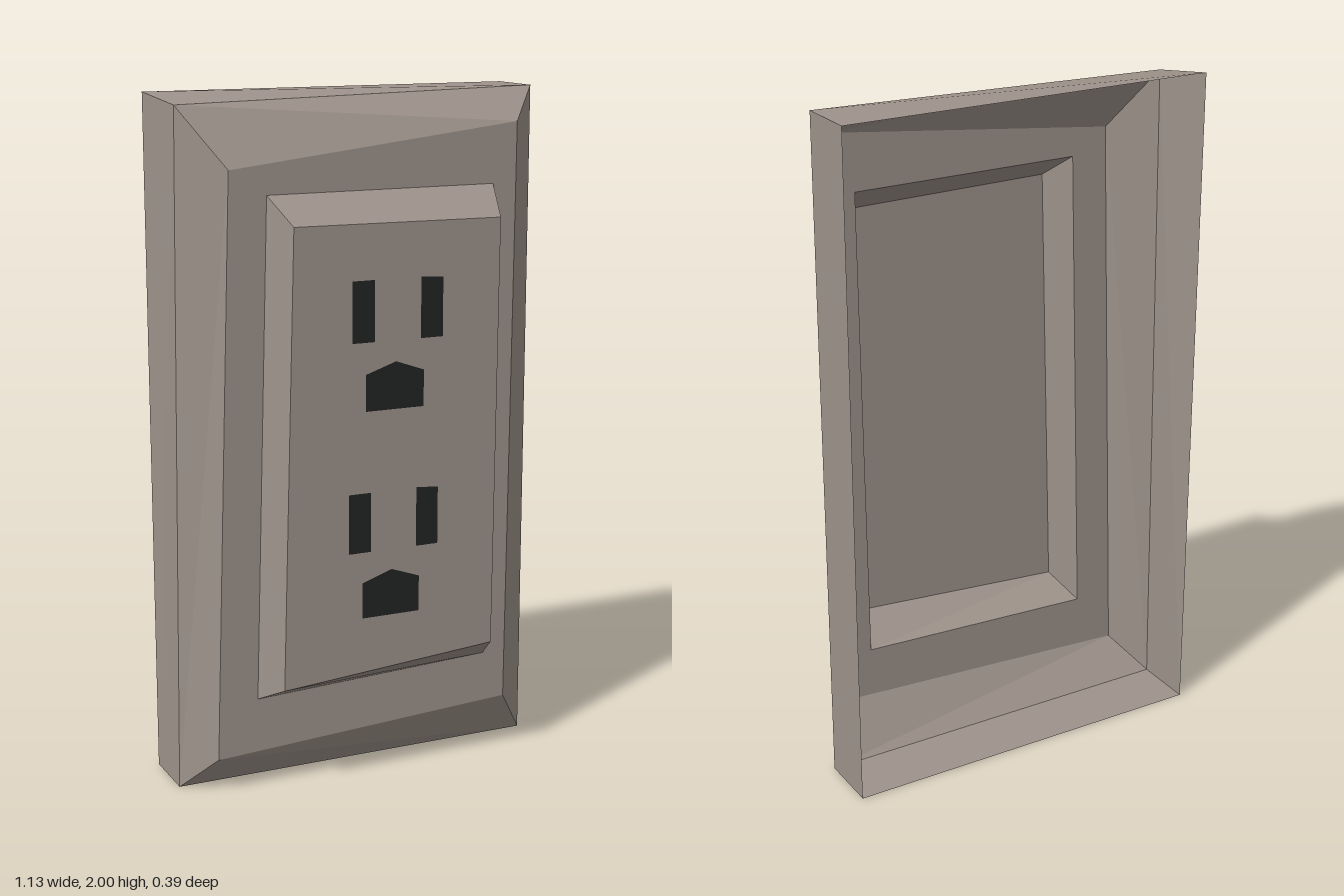
import * as THREE from 'three';

// Ring of four corners at depth z: top-left, top-right, bottom-right, bottom-left
const ring = (z, corners) => corners.map(([x, y]) => [x, y, z]);

const facets = (positions) => {
  const g = new THREE.BufferGeometry();
  g.setAttribute('position', new THREE.Float32BufferAttribute(positions.flat(), 3));
  g.computeVertexNormals();
  return g;
};

// Four-sided wall from the rear ring a to the front ring b
const band = (a, b) => {
  const p = [];
  for (let i = 0; i < 4; i++) {
    const j = (i + 1) % 4;
    p.push(a[i], b[i], b[j], a[i], b[j], a[j]);
  }
  return facets(p);
};

export function createModel() {
  const group = new THREE.Group();
  group.name = 'wallOutlet';

  const plastic = new THREE.MeshStandardMaterial({ color: 0x9e938b, side: THREE.DoubleSide });
  plastic.name = 'taupe plastic';
  plastic.flatShading = true;
  const dark = new THREE.MeshStandardMaterial({ color: 0x222323 });
  dark.name = 'slot black';

  const add = (name, geometry, material) => {
    const mesh = new THREE.Mesh(geometry, material);
    mesh.name = name;
    group.add(mesh);
  };

  // Slightly crooked outlines, from the open back to the front
  const back = ring(-0.197, [[-0.565, 2], [0.565, 2], [0.565, 0], [-0.565, 0]]);
  const edge = ring(-0.013, [[-0.538, 1.975], [0.565, 2], [0.565, 0], [-0.565, 0]]);
  const plate = ring(0.083, [[-0.42, 1.803], [0.47, 1.905], [0.457, 0.155], [-0.477, 0.105]]);
  const base = ring(0.083, [[-0.309, 1.73], [0.394, 1.73], [0.384, 0.304], [-0.353, 0.273]]);
  const face = ring(0.195, [[-0.276, 1.654], [0.36, 1.648], [0.35, 0.38], [-0.315, 0.33]]);

  // Hollow cover and raised centre panel
  add('coverSides', band(back, edge), plastic);
  add('coverBevel', band(edge, plate), plastic);
  add('coverFront', band(plate, base), plastic);
  add('panelBevel', band(base, face), plastic);
  add('panelFront', facets([face[0], face[3], face[2], face[0], face[2], face[1]]), plastic);

  // Two sockets, each with two blade slots and a ground hole
  const outlines = {
    LeftSlot: [[0.109, 1.32], [0.178, 1.32], [0.178, 1.49], [0.109, 1.495]],
    RightSlot: [[-0.103, 1.32], [-0.034, 1.32], [-0.034, 1.495], [-0.103, 1.495]],
    GroundHole: [[-0.061, 1.123], [0.119, 1.123], [0.119, 1.229], [0.032, 1.26], [-0.061, 1.229]],
  };
  [['upper', 0, 0], ['lower', -0.011, -0.609]].forEach(([socket, dx, dy]) => {
    for (const [part, points] of Object.entries(outlines)) {
      const shape = new THREE.Shape(points.map(([x, y]) => new THREE.Vector2(x + dx, y + dy)));
      add(socket + part, new THREE.ShapeGeometry(shape).translate(0, 0, 0.197), dark);
    }
  });

  return group;
}
